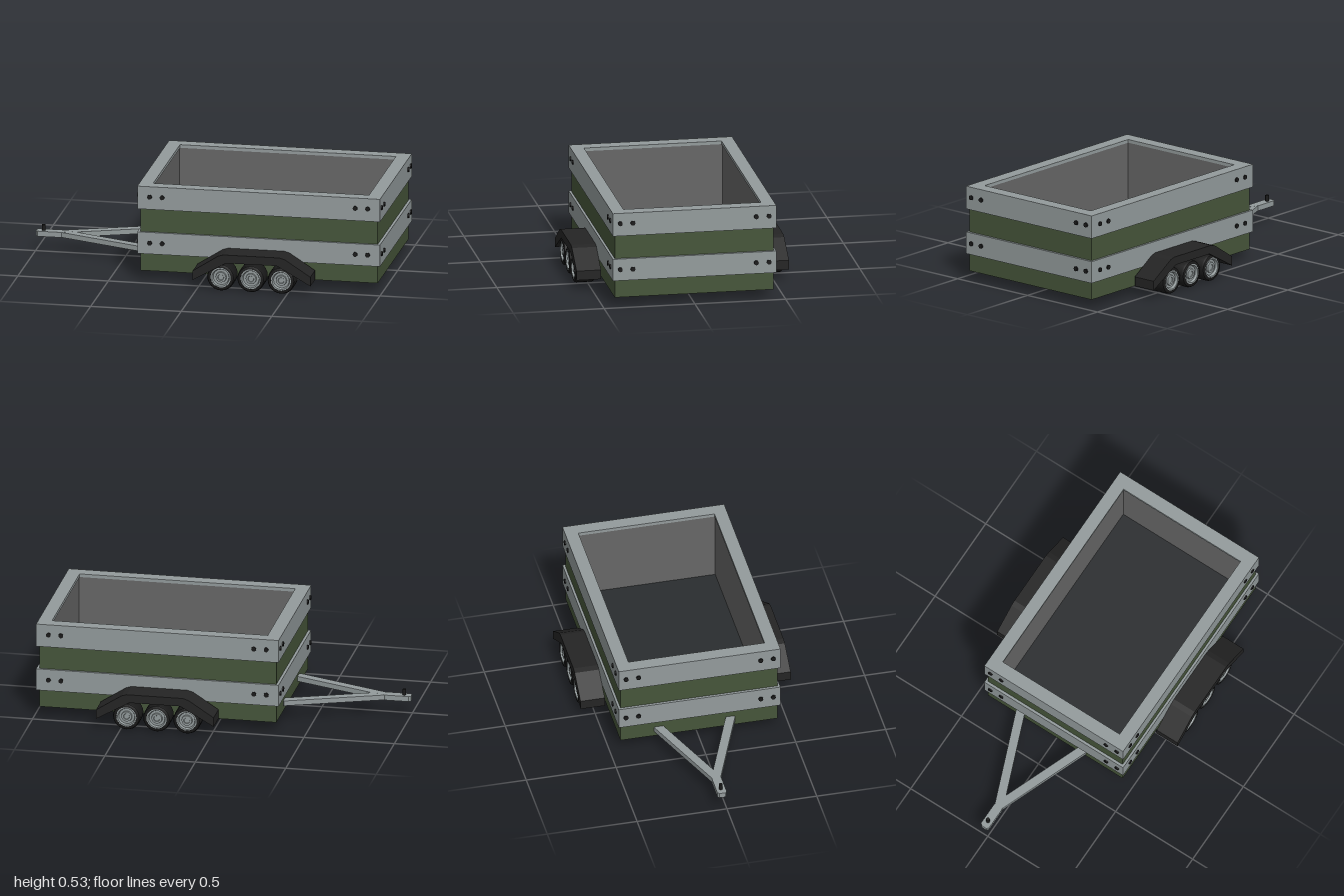
import * as THREE from 'three';
import { toCreasedNormals } from 'three/addons/utils/BufferGeometryUtils.js';

const mat = (color, side = THREE.FrontSide) => new THREE.MeshStandardMaterial({ color, side });
const green = mat(0x46553a);
const steel = mat(0x939b9c);
const liner = mat(0x666666);
const dark = mat(0x2a2d2f);
const black = mat(0x242424);
const rubber = mat(0x1a1a1a);

function add(parent, name, geometry, material, x = 0, y = 0, z = 0) {
  const mesh = new THREE.Mesh(geometry, material);
  mesh.name = name;
  mesh.position.set(x, y, z);
  parent.add(mesh);
  return mesh;
}

function rect(Type, hx, hz) {
  return new Type([[-hx, -hz], [hx, -hz], [hx, hz], [-hx, hz]].map(([x, z]) => new THREE.Vector2(x, z)));
}

// Rectangular ring lying flat, from height y0 to y1
function ring(outer, inner, y0, y1) {
  const shape = rect(THREE.Shape, ...outer);
  shape.holes.push(rect(THREE.Path, ...inner));
  return new THREE.ExtrudeGeometry(shape, { depth: y1 - y0, bevelEnabled: false })
    .rotateX(-Math.PI / 2).translate(0, y0, 0);
}

function lathe(points, segments) {
  const geometry = new THREE.LatheGeometry(points.map(([r, y]) => new THREE.Vector2(r, y)), segments);
  return toCreasedNormals(geometry.rotateX(Math.PI / 2), 0.6);
}

const CX = 0.32; // middle of the box along x

export function createModel() {
  const model = new THREE.Group();
  model.name = 'trailer';

  // Box: shell, base, floor and lining
  const box = new THREE.Group();
  box.name = 'cargoBox';
  box.position.x = CX;
  model.add(box);
  add(box, 'shell', ring([0.655, 0.437], [0.62, 0.41], 0.055, 0.515), green);
  add(box, 'base', new THREE.BoxGeometry(1.308, 0.05, 0.872), green, 0, 0.081, 0);
  add(box, 'floor', new THREE.BoxGeometry(1.24, 0.015, 0.82), dark, 0, 0.112, 0);
  add(box, 'lining', ring([0.62, 0.41], [0.6, 0.384], 0.11, 0.515), liner);

  // Boards around the box, the upper one capped by a rim
  add(box, 'lowerBoards', ring([0.67, 0.45], [0.65, 0.43], 0.153, 0.275), steel);
  add(box, 'upperBoards', ring([0.67, 0.45], [0.65, 0.43], 0.405, 0.515), steel);
  add(box, 'topRim', ring([0.67, 0.45], [0.596, 0.379], 0.515, 0.533), steel);

  // Bolts, two at each end of every board
  const boltZ = new THREE.CylinderGeometry(0.013, 0.013, 0.02, 12).rotateX(Math.PI / 2);
  const boltX = boltZ.clone().rotateY(Math.PI / 2);
  for (const y of [0.215, 0.475]) {
    for (const sx of [-1, 1]) {
      for (const sz of [-1, 1]) {
        for (const d of [0.533, 0.602]) add(box, 'sideBolt', boltZ, rubber, sx * d, y, sz * 0.446);
        for (const d of [0.34, 0.41]) add(box, 'endBolt', boltX, rubber, sx * 0.667, y, sz * d);
      }
    }
  }

  // Wheels and mudguards
  const tyre = lathe([[0, -0.056], [0.062, -0.056], [0.071, -0.052], [0.0755, -0.042],
    [0.0755, 0.042], [0.071, 0.052], [0.062, 0.056], [0.056, 0.056], [0.054, 0.04]], 24);
  const hub = lathe([[0.056, 0.035], [0.056, 0.054], [0.048, 0.054], [0.043, 0.04],
    [0.03, 0.04], [0.028, 0.049], [0.017, 0.049], [0.015, 0.044], [0, 0.044]], 24);
  const guardShape = new THREE.Shape([[-0.325, 0.06], [-0.14, 0.165], [0.14, 0.165], [0.325, 0.06],
    [0.325, 0.112], [0.185, 0.202], [0.155, 0.211], [-0.155, 0.211], [-0.185, 0.202], [-0.325, 0.112]]
    .map(([x, y]) => new THREE.Vector2(x, y)));
  const guard = new THREE.ExtrudeGeometry(guardShape, { depth: 0.135, bevelEnabled: false })
    .translate(0, 0, -0.0675);
  for (const side of [-1, 1]) {
    const label = side > 0 ? 'front' : 'back';
    add(model, label + 'Mudguard', guard, black, 0.307, 0, side * 0.5175);
    for (const x of [0.134, 0.3, 0.467]) {
      const wheel = new THREE.Group();
      wheel.name = label + 'Wheel';
      wheel.position.set(x, 0.0785, side * 0.519);
      if (side < 0) wheel.rotation.y = Math.PI;
      add(wheel, 'tyre', tyre, rubber);
      add(wheel, 'rim', hub, steel);
      model.add(wheel);
    }
  }

  // A-frame drawbar with coupling tongue and pin
  const drawbar = new THREE.Group();
  drawbar.name = 'drawbar';
  drawbar.position.set(0, 0.099, 0.025 * -1);
  model.add(drawbar);
  const angle = Math.atan(0.39);
  const length = 0.52 / Math.cos(angle);
  for (const side of [-1, 1]) {
    const bar = add(drawbar, 'drawbarArm', new THREE.BoxGeometry(length, 0.028, 0.05), steel,
      -0.59, 0, side * 0.101);
    bar.rotation.y = -side * angle;
  }
  const tongue = new THREE.Shape([[-1, -0.016], [-0.989, -0.026], [-0.86, -0.026], [-0.8, 0],
    [-0.86, 0.026], [-0.989, 0.026], [-1, 0.016]].map(([x, z]) => new THREE.Vector2(x, z)));
  add(drawbar, 'tongue', new THREE.ExtrudeGeometry(tongue, { depth: 0.029, bevelEnabled: false })
    .rotateX(-Math.PI / 2).translate(0, -0.0145, 0), steel);
  add(drawbar, 'couplingPin', new THREE.CylinderGeometry(0.01, 0.01, 0.034, 12), rubber, -0.96, 0.03, 0);

  return model;
}
